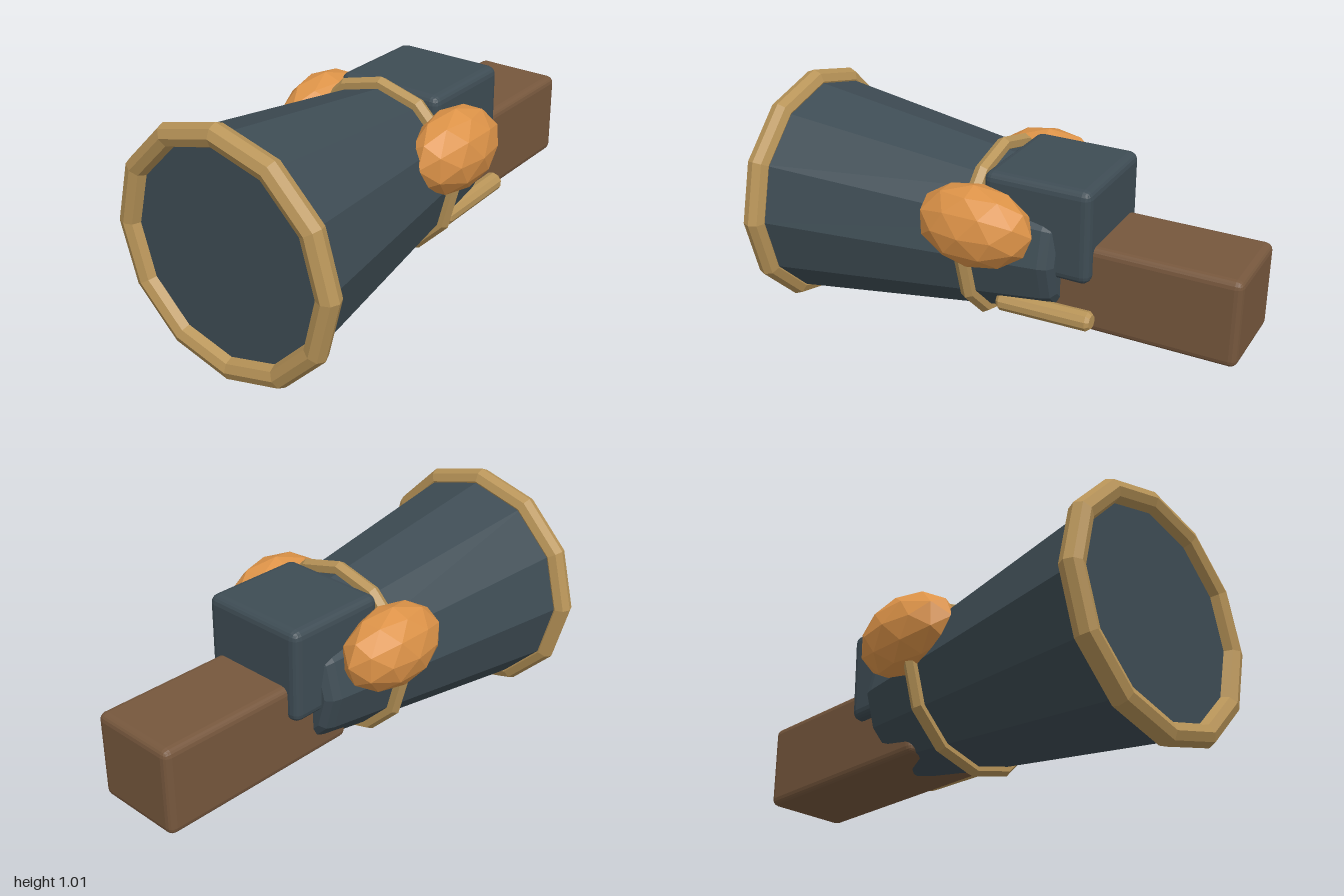
import * as THREE from 'three';
import { RoundedBoxGeometry } from 'three/addons/geometries/RoundedBoxGeometry.js';

const material = (color) => new THREE.MeshStandardMaterial({ color, flatShading: true });

export function createModel() {
  const model = new THREE.Group();
  const steel = material(0x3e4c54);
  const wood = material(0x76573d);
  const brass = material(0xb89458);
  const copper = material(0xdd9348);
  const axisY = 0.508;

  const add = (name, geometry, mat, x, y, z) => {
    const mesh = new THREE.Mesh(geometry, mat);
    mesh.name = name;
    mesh.position.set(x, y, z);
    model.add(mesh);
    return mesh;
  };
  // Solid of revolution lying along z, from [radius, z] pairs
  const turned = (profile, sides) =>
    new THREE.LatheGeometry(profile.map(([r, z]) => new THREE.Vector2(r, z)), sides).rotateX(Math.PI / 2);

  // Flared twelve-sided barrel with a chamfered breech
  add('barrel', turned([[0, -0.29], [0.25, -0.29], [0.277, -0.27], [0.288, -0.235], [0.46, 0.955], [0, 0.955]], 12),
    steel, 0, axisY, 0);

  // Brass rings round the muzzle and the waist
  add('muzzleRing', new THREE.TorusGeometry(0.46, 0.046, 8, 12), brass, 0, axisY, 0.954);
  add('waistRing', new THREE.TorusGeometry(0.342, 0.03, 6, 12), brass, 0, axisY + 0.004, 0.056);

  // Receiver block and stock
  add('receiver', new RoundedBoxGeometry(0.47, 0.385, 0.445, 2, 0.035), steel, 0, 0.643, -0.2);
  add('stock', new RoundedBoxGeometry(0.38, 0.36, 0.9, 2, 0.03), wood, 0, 0.415, -0.55);

  // Faceted side bulbs
  for (const side of [1, -1]) {
    const bulb = add(side > 0 ? 'leftBulb' : 'rightBulb', new THREE.IcosahedronGeometry(1, 1), copper,
      side * 0.315, 0.648, 0.012);
    bulb.scale.set(side > 0 ? 0.137 : 0.14, 0.167, 0.242);
  }

  // Handle rod along the left side
  const rod = add('handleRod',
    turned([[0, -0.2], [0.028, -0.2], [0.04, -0.185], [0.04, 0.185], [0.028, 0.2], [0, 0.2]], 10),
    brass, 0.23, 0.303, -0.243);
  rod.rotation.x = 0.02;

  return model;
}
